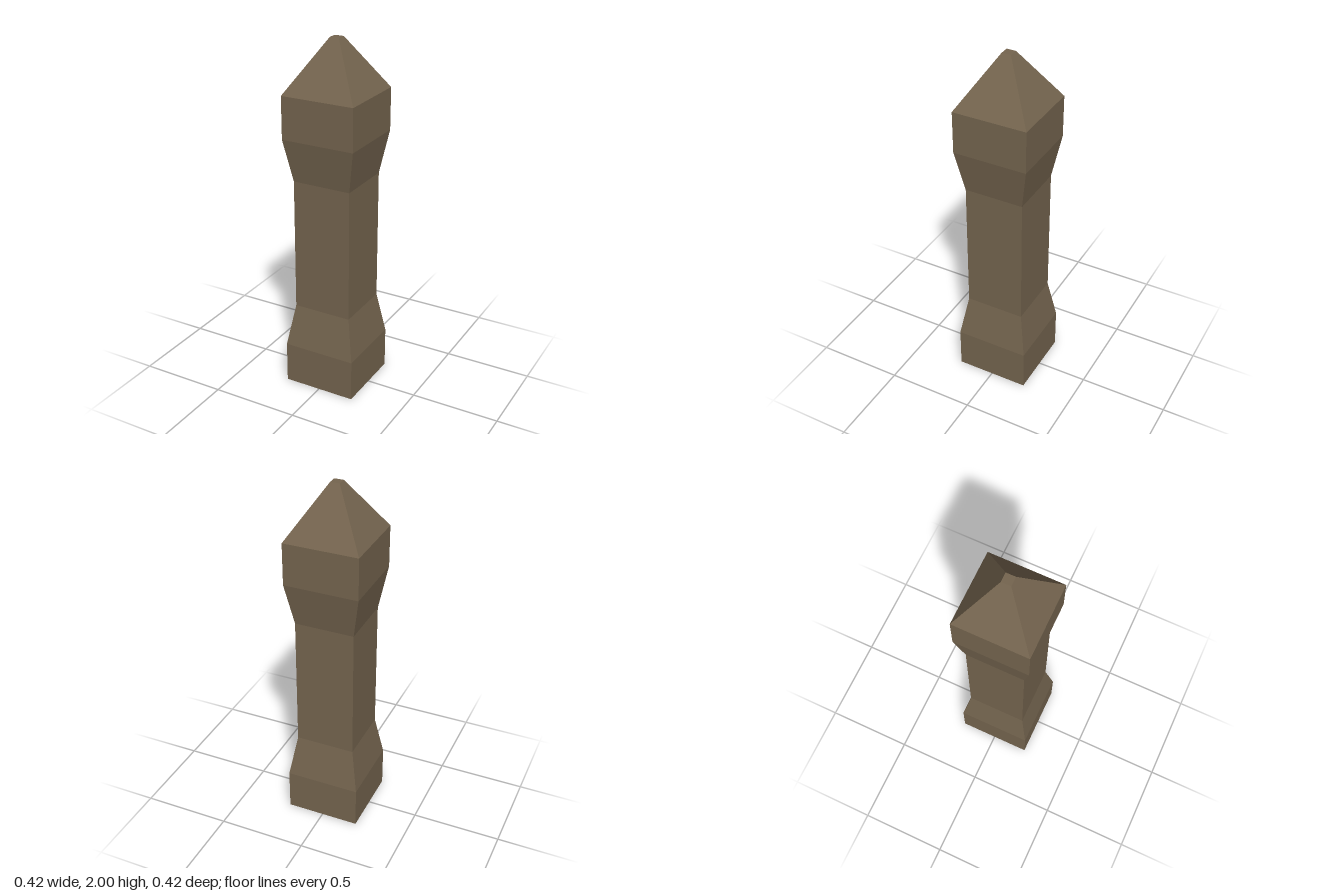
import * as THREE from 'three';

const stone = new THREE.MeshStandardMaterial({ color: 0x75654f });
stone.name = 'brown stone';

// Square frustum side walls between two heights, given half-widths
function section(name, y0, half0, y1, half1) {
  const r = Math.SQRT2;
  let geo = new THREE.CylinderGeometry(half1 * r, half0 * r, y1 - y0, 4, 1, true);
  geo.rotateY(Math.PI / 4);
  geo = geo.toNonIndexed();
  geo.computeVertexNormals(); // flat faces
  const mesh = new THREE.Mesh(geo, stone);
  mesh.name = name;
  mesh.position.y = (y0 + y1) / 2;
  return mesh;
}

// Horizontal square face, facing up or down
function cap(name, y, half, up) {
  const geo = new THREE.PlaneGeometry(half * 2, half * 2);
  geo.rotateX(up ? -Math.PI / 2 : Math.PI / 2);
  const mesh = new THREE.Mesh(geo, stone);
  mesh.name = name;
  mesh.position.y = y;
  return mesh;
}

export function createModel() {
  const post = new THREE.Group();
  post.name = 'post';

  // Rings from bottom to top: [height, half-width, name of the section above]
  const rings = [
    [0, 0.21, 'base'],
    [0.238, 0.21, 'lowerTaper'],
    [0.483, 0.168, 'shaft'],
    [1.235, 0.168, 'upperTaper'],
    [1.475, 0.21, 'head'],
    [1.712, 0.21, 'pyramidTop'],
    [2, 0.026, 'tip'],
  ];
  for (let i = 0; i < rings.length - 1; i++) {
    const [y0, h0, name] = rings[i];
    const [y1, h1] = rings[i + 1];
    post.add(section(name, y0, h0, y1, h1));
  }

  // End faces
  post.add(cap('underside', 0, 0.21, false));
  post.add(cap('tip', 2, 0.026, true));
  return post;
}
